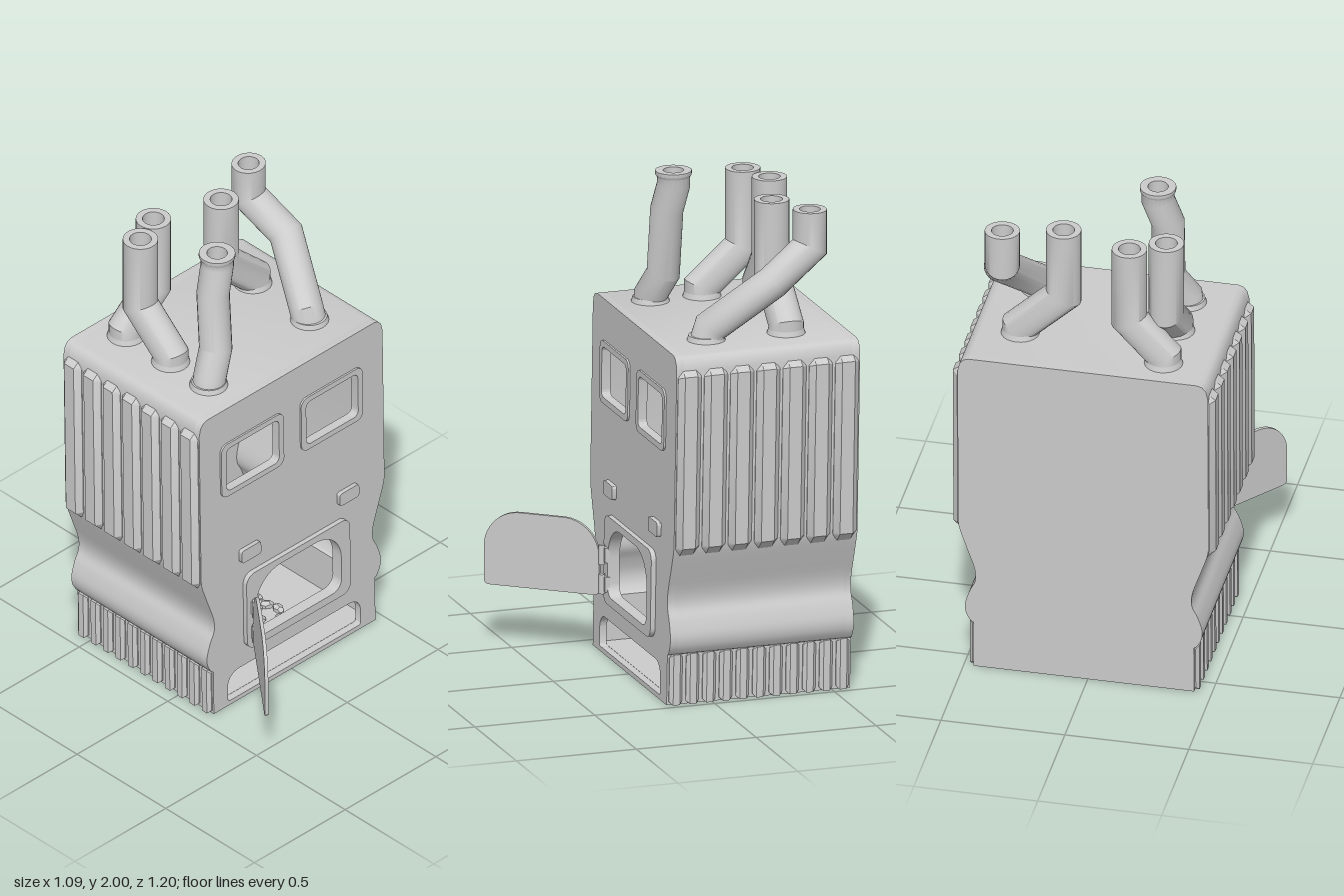
import * as THREE from 'three';
import { toCreasedNormals, mergeGeometries } from 'three/addons/utils/BufferGeometryUtils.js';

const CX = 0.016, FRONT = 0.187, BACK = -0.578, WALL = 0.03;
const V = (x, y, z) => new THREE.Vector3(x, y, z);
const P = (x, y) => new THREE.Vector2(x, y);
const material = new THREE.MeshStandardMaterial({ color: 0xcccccc, side: THREE.DoubleSide });

// The casing leans back slightly
const lean = new THREE.Matrix4().set(1, 0, 0, 0, 0, 1, 0, 0, 0, -0.0155, 1, 0, 0, 0, 0, 1);

function add(parent, name, geometry, leaning = false, crease = 0.6) {
  if (leaning) geometry.applyMatrix4(lean);
  const mesh = new THREE.Mesh(toCreasedNormals(geometry, crease), material);
  mesh.name = name;
  parent.add(mesh);
  return mesh;
}

const extrude = (shape, z, depth, bevel = 0) => new THREE.ExtrudeGeometry(shape, {
  depth, curveSegments: 8, bevelEnabled: bevel > 0, bevelSize: bevel, bevelThickness: bevel, bevelSegments: 1,
}).translate(0, 0, z);

// Rectangle with separate corner radii for bottom and top
function panel(x0, x1, y0, y1, rb, rt, Type = THREE.Shape) {
  const s = new Type();
  s.moveTo(x0 + rb, y0);
  s.lineTo(x1 - rb, y0);
  s.absarc(x1 - rb, y0 + rb, rb, -Math.PI / 2, 0);
  s.absarc(x1 - rt, y1 - rt, rt, 0, Math.PI / 2);
  s.absarc(x0 + rt, y1 - rt, rt, Math.PI / 2, Math.PI);
  s.absarc(x0 + rb, y0 + rb, rb, Math.PI, Math.PI * 1.5);
  s.closePath();
  return s;
}

// Half silhouette of the casing, from the base to the roof
const waist = new THREE.SplineCurve([
  P(0.455, 0.21), P(0.474, 0.245), P(0.478, 0.29), P(0.46, 0.35), P(0.437, 0.4),
  P(0.44, 0.46), P(0.47, 0.55), P(0.5, 0.64), P(0.505, 0.68),
]).getPoints(28);
const half = [P(0.445, 0), P(0.445, 0.205), ...waist, P(0.505, 1.38), P(0.497, 1.415), P(0.482, 1.433), P(0.46, 1.44)];

function casingPoints(inset) {
  const right = half.map(p => P(p.x - inset, THREE.MathUtils.clamp(p.y, inset * 0.7, 1.44 - inset)));
  const left = right.map(p => P(-p.x, p.y)).reverse();
  return [...right, ...left].map(p => P(p.x + CX, p.y));
}

// Hollow pipe through a list of points, with mitred bends
function pipe(points, r, bore, flare = 0, sides = 24) {
  const rings = [];
  const direction = i => points[i + 1].clone().sub(points[i]).normalize();
  let ring = [];
  for (let j = 0; j < sides; j++) {
    const a = j / sides * Math.PI * 2;
    ring.push(V(Math.cos(a) * r, 0, -Math.sin(a) * r).add(points[0]));
  }
  rings.push(ring);
  const last = points.length - 1;
  for (let i = 1; i <= last; i++) {
    const d = direction(i - 1);
    const n = i < last ? d.clone().add(direction(i)) : V(0, 1, 0);
    ring = ring.map(p => p.clone().addScaledVector(d, points[i].clone().sub(p).dot(n) / d.dot(n)));
    rings.push(ring);
  }
  // Rim, bore and bore floor
  const end = points[last], top = ring;
  const scaled = (k, dy) => top.map(p => p.clone().sub(end).multiplyScalar(k).add(end).add(V(0, dy, 0)));
  if (flare) {
    rings[last] = scaled(1, -0.025);
    rings.push(scaled(1 + flare, -0.015), scaled(1 + flare, 0));
  }
  rings.push(scaled(bore, 0), scaled(bore, -0.1), scaled(0.001, -0.1));
  const pos = rings.flatMap(q => q.flatMap(p => [p.x, p.y, p.z])), index = [];
  for (let i = 0; i < rings.length - 1; i++) for (let j = 0; j < sides; j++) {
    const a = i * sides + j, b = i * sides + (j + 1) % sides;
    index.push(a, b, b + sides, a, b + sides, a + sides);
  }
  const g = new THREE.BufferGeometry();
  g.setAttribute('position', new THREE.Float32BufferAttribute(pos, 3));
  g.setIndex(index);
  return g;
}

export function createModel() {
  const model = new THREE.Group();
  model.name = 'furnace';

  // Hollow casing: front plate with openings, side shell and back plate
  const windows = [[-0.35, -0.06], [0.09, 0.375]];
  const front = new THREE.Shape(casingPoints(0));
  front.holes.push(
    ...windows.map(([a, b]) => panel(a, b, 1.045, 1.25, 0.025, 0.025, THREE.Path)),
    panel(-0.21, 0.26, 0.265, 0.56, 0.05, 0.14, THREE.Path),
    panel(-0.35, 0.38, 0.02, 0.152, 0.01, 0.06, THREE.Path));
  add(model, 'frontPlate', extrude(front, FRONT - WALL, WALL), true);

  const shell = new THREE.Shape(casingPoints(0));
  shell.holes.push(new THREE.Path(casingPoints(WALL)));
  add(model, 'sideShell', extrude(shell, BACK + WALL, FRONT - BACK - 2 * WALL), true);
  add(model, 'backPlate', extrude(new THREE.Shape(casingPoints(0)), BACK, WALL), true);

  // Rows of vertical ribs on both sides
  function ribs(name, count, profile, bevel, gap) {
    const pitch = (FRONT - BACK) / count, depth = pitch - gap - 2 * bevel, parts = [];
    for (const side of [-1, 1]) for (let i = 0; i < count; i++) {
      const shape = new THREE.Shape(profile.map(([x, y]) => P(CX + side * x, y)));
      parts.push(extrude(shape, BACK + (i + 0.5) * pitch - depth / 2, depth, bevel));
    }
    add(model, name, mergeGeometries(parts), true, 0.5);
  }
  ribs('upperRibs', 7, [[0.495, 0.645], [0.508, 0.665], [0.508, 1.355], [0.495, 1.37]], 0.022, 0.012);
  ribs('lowerRibs', 11, [[0.435, 0.014], [0.45, 0.014], [0.45, 0.195], [0.435, 0.195]], 0.013, 0.016);

  // Raised frames around the windows and the fire door
  for (const [a, b] of windows) {
    const frame = panel(a - 0.027, b + 0.027, 1.02, 1.274, 0.035, 0.035);
    frame.holes.push(panel(a, b, 1.045, 1.25, 0.025, 0.025, THREE.Path));
    add(model, 'windowFrame', extrude(frame, FRONT - 0.002, 0.01), true);
  }
  const doorFrame = panel(-0.26, 0.31, 0.23, 0.59, 0.045, 0.045);
  doorFrame.holes.push(panel(-0.21, 0.26, 0.265, 0.56, 0.05, 0.14, THREE.Path));
  add(model, 'doorFrame', extrude(doorFrame, FRONT - 0.002, 0.022), true);

  // Small blocks above the door
  for (const x of [-0.228, 0.312])
    add(model, 'frontBlock', extrude(panel(x - 0.053, x + 0.053, 0.663, 0.722, 0.012, 0.012), FRONT - 0.005, 0.023), true);

  // Open door on two hinges
  const door = new THREE.Group();
  door.name = 'door';
  door.position.set(-0.23, 0, 0.215);
  door.rotation.y = Math.atan2(-0.385, -0.312);
  add(door, 'doorLeaf', extrude(panel(0.012, 0.495, 0.262, 0.568, 0.02, 0.15), -0.007, 0.014));
  model.add(door);
  for (const y of [0.31, 0.43]) {
    add(model, 'hingePin', new THREE.CylinderGeometry(0.013, 0.013, 0.08, 12).translate(-0.23, y, 0.218));
    add(model, 'hingePlate', new THREE.BoxGeometry(0.03, 0.06, 0.02).translate(-0.222, y, 0.202));
  }

  // Coals scattered over the floor
  let seed = 7;
  const rnd = () => (seed = (seed * 16807) % 2147483647) / 2147483647;
  const coals = [];
  for (let i = 0; i < 90; i++) {
    const size = 0.012 + rnd() * 0.014;
    coals.push(new THREE.DodecahedronGeometry(size).scale(1.5, 0.7, 1).rotateY(rnd() * 6)
      .translate(0.03 + (rnd() - 0.5) * 0.4, 0.03, -0.25 + (rnd() - 0.5) * 0.5));
  }
  add(model, 'coals', mergeGeometries(coals), false, 0.1);

  // Chimney pipes, each with a low collar at the roof
  const pipes = [
    [V(0.31, 1.43, -0.03), V(0.31, 1.49, -0.05), V(0.415, 1.68, -0.27), V(0.375, 1.8, -0.44), V(0.375, 1.955, -0.44)],
    [V(0.32, 1.43, -0.36), V(0.32, 1.475, -0.36), V(0.145, 1.64, -0.36), V(0.145, 1.94, -0.36)],
    [V(-0.28, 1.43, -0.46), V(-0.28, 1.48, -0.46), V(-0.14, 1.62, -0.45), V(-0.14, 1.945, -0.45)],
    [V(-0.275, 1.43, -0.215), V(-0.275, 1.48, -0.215), V(-0.275, 1.63, -0.385), V(-0.275, 1.95, -0.385)],
    [V(-0.275, 1.43, 0), V(-0.27, 1.47, 0), V(-0.207, 1.57, -0.03), V(-0.207, 1.83, -0.045), V(-0.17, 1.94, -0.06), V(-0.17, 2, -0.06)],
  ];
  pipes.forEach((points, i) => {
    add(model, 'pipe', pipe(points, i === 4 ? 0.066 : 0.07, 0.62, i === 4 ? 0.1 : 0));
    const { x, z } = points[0];
    add(model, 'pipeCollar', new THREE.CylinderGeometry(0.07, 0.078, 0.025, 24).translate(x, 1.448, z));
  });
  return model;
}
